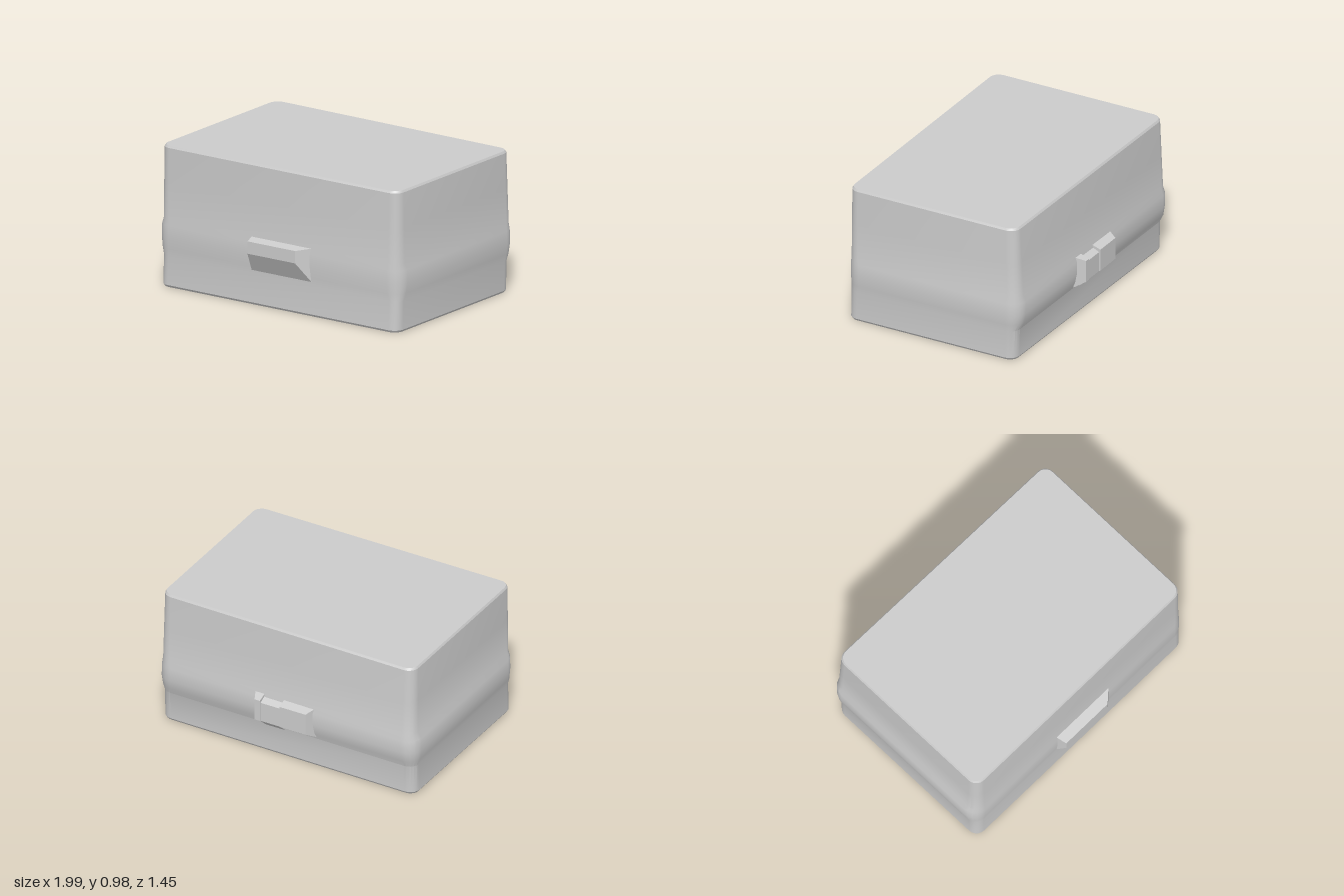
import * as THREE from 'three';
import { toCreasedNormals } from 'three/addons/utils/BufferGeometryUtils.js';
import { ConvexGeometry } from 'three/addons/geometries/ConvexGeometry.js';

const CORNER_STEPS = 5;

// Rounded rectangle ring; the back edge runs slightly askew
function ring([y, xl, xr, zf, zb, r]) {
  const corners = [[xr - r, zf - r], [xl + r, zf - r], [xl + r, zb + r], [xr - r, zb + r]];
  const pts = [];
  corners.forEach(([cx, cz], k) => {
    for (let i = 0; i <= CORNER_STEPS; i++) {
      const a = (k + i / CORNER_STEPS) * Math.PI / 2;
      const x = cx + r * Math.cos(a), z = cz + r * Math.sin(a);
      pts.push([x, y, z < 0 ? z + 0.012 * x : z]);
    }
  });
  return pts;
}

// Closed skin through a stack of rings, lowest first
function loft(sections) {
  const rings = sections.map(ring), n = rings[0].length, pos = [];
  const tri = (...p) => p.forEach(v => pos.push(...v));
  const low = rings[0], high = rings[rings.length - 1];
  const lowMid = [0, low[0][1], 0], highMid = [0, high[0][1], 0];
  for (let i = 0; i < n; i++) {
    const j = (i + 1) % n;
    for (let k = 0; k < rings.length - 1; k++) {
      const a = rings[k], b = rings[k + 1];
      tri(a[i], b[i], a[j]);
      tri(a[j], b[i], b[j]);
    }
    tri(lowMid, low[i], low[j]);
    tri(highMid, high[j], high[i]);
  }
  const g = new THREE.BufferGeometry();
  g.setAttribute('position', new THREE.Float32BufferAttribute(pos, 3));
  return toCreasedNormals(g, 0.45);
}

// Convex block between two upright rectangles [x0, x1, y0, y1, z]
function wedge(...rects) {
  const pts = rects.flatMap(([x0, x1, y0, y1, z]) =>
    [[x0, y0], [x1, y0], [x1, y1], [x0, y1]].map(([x, y]) => new THREE.Vector3(x, y, z)));
  return new ConvexGeometry(pts);
}

export function createModel() {
  const model = new THREE.Group();
  model.name = 'case';
  const smooth = new THREE.MeshStandardMaterial({ color: 0xcccccc });
  const flat = new THREE.MeshStandardMaterial({ color: 0xcccccc, flatShading: true });
  const add = (name, geometry, material, parent = model) => {
    const mesh = new THREE.Mesh(geometry, material);
    mesh.name = name;
    parent.add(mesh);
  };

  // Base, swollen seam band and lid: y, left x, right x, front z, back z, corner radius
  add('caseBody', loft([
    [0.005, -0.965, 0.965, 0.645, -0.62, 0.06],
    [0.02, -0.975, 0.975, 0.655, -0.63, 0.07],
    [0.22, -0.973, 0.977, 0.65, -0.635, 0.07],
    [0.27, -0.99, 0.985, 0.655, -0.66, 0.09],
    [0.34, -0.998, 0.993, 0.66, -0.672, 0.1],
    [0.43, -0.996, 0.99, 0.66, -0.672, 0.1],
    [0.475, -0.977, 0.98, 0.653, -0.66, 0.08],
    [0.72, -0.974, 0.977, 0.65, -0.648, 0.075],
    [0.965, -0.97, 0.973, 0.647, -0.637, 0.07],
    [0.98, -0.962, 0.965, 0.638, -0.628, 0.065],
  ]), smooth);

  // Front grip, sloping back underneath
  add('frontLatch', wedge(
    [-0.22, 0.28, 0.23, 0.475, 0.645],
    [-0.2, 0.19, 0.375, 0.46, 0.725]), flat);

  // Rear catch: two shoulders with a dipped centre
  const rear = new THREE.Group();
  rear.name = 'rearLatch';
  model.add(rear);
  add('rearLatchWideShoulder', wedge(
    [-0.23, 0.01, 0.24, 0.465, -0.65],
    [-0.19, 0.01, 0.285, 0.44, -0.725]), flat, rear);
  add('rearLatchCentre', wedge(
    [0.01, 0.16, 0.22, 0.45, -0.65],
    [0.01, 0.16, 0.28, 0.42, -0.715]), flat, rear);
  add('rearLatchNarrowShoulder', wedge(
    [0.16, 0.235, 0.24, 0.465, -0.65],
    [0.16, 0.2, 0.285, 0.44, -0.725]), flat, rear);
  return model;
}
